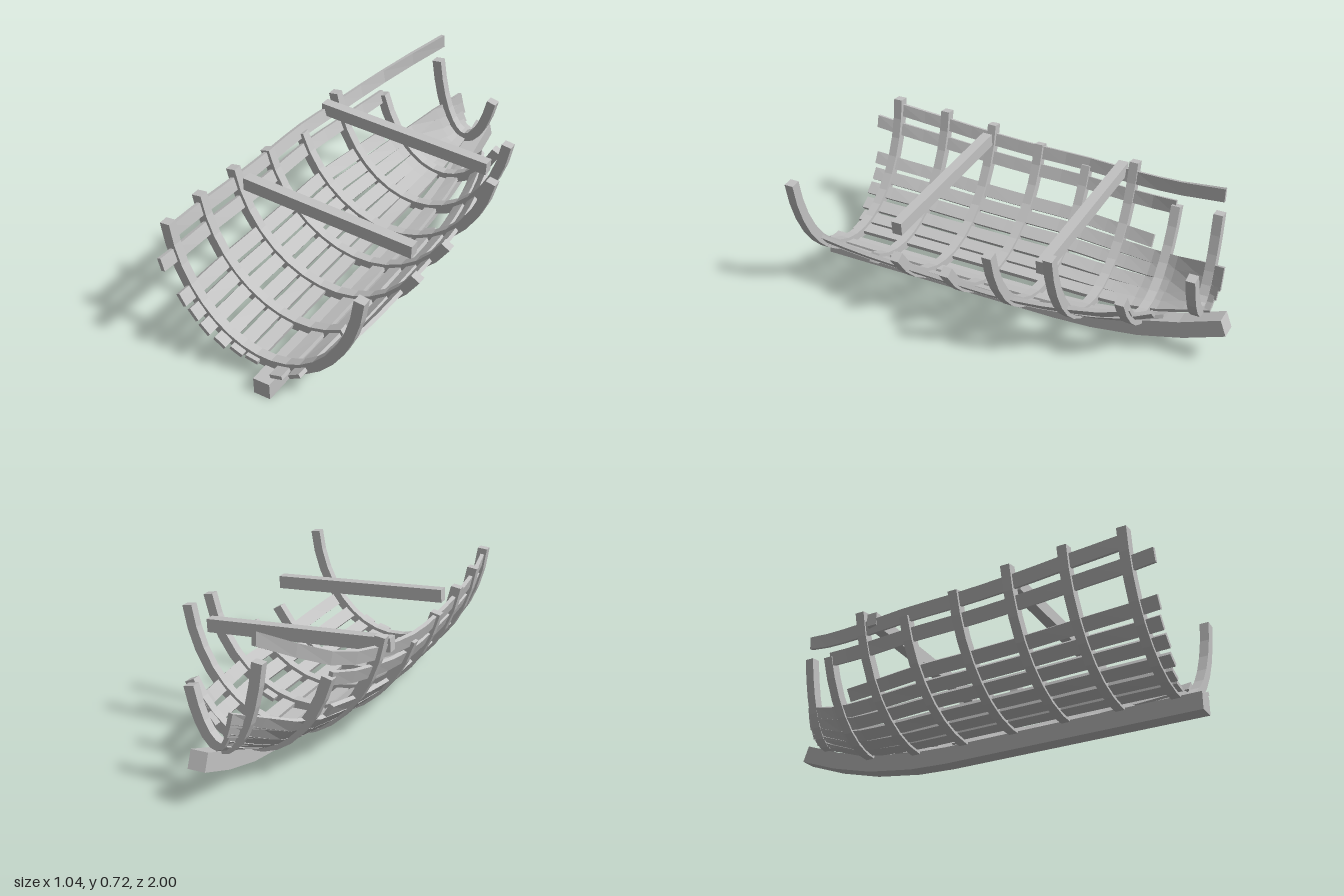
import * as THREE from 'three';

// Hull stations: z, half width, bottom height
const HULL = [
  [1.02, 0.435, 0.09], [0.89, 0.453, 0.09], [0.645, 0.49, 0.09], [0.395, 0.505, 0.09], [0.145, 0.513, 0.09],
  [-0.105, 0.51, 0.09], [-0.355, 0.457, 0.095], [-0.605, 0.367, 0.12], [-0.85, 0.175, 0.21], [-0.96, 0.07, 0.25],
];
const DEPTH = 0.6;
const curve = new THREE.CatmullRomCurve3(HULL.map(([z, w, b]) => new THREE.Vector3(w, b, z)), false, 'centripetal');
const SAMPLES = curve.getPoints(180);

// Half width and bottom at any z
function hullAt(z) {
  let i = 0;
  while (i < SAMPLES.length - 2 && SAMPLES[i + 1].z > z) i++;
  const a = SAMPLES[i], b = SAMPLES[i + 1];
  return a.clone().lerp(b, (z - a.z) / (b.z - a.z));
}

// Point on the hull section, with its outward normal and tangent
function section(z, degrees) {
  const h = hullAt(z), a = THREE.MathUtils.degToRad(degrees);
  const p = new THREE.Vector3(h.x * Math.sin(a), h.y + DEPTH * (1 - Math.cos(a)), z);
  const t = new THREE.Vector3(h.x * Math.cos(a), DEPTH * Math.sin(a), 0).normalize();
  return { p, t, n: new THREE.Vector3(t.y, -t.x, 0) };
}

// Rectangle around a centre, from two half-size vectors
const rect = (c, u, v) => [[-1, -1], [1, -1], [1, 1], [-1, 1]].map(
  ([i, j]) => c.clone().addScaledVector(u, i).addScaledVector(v, j));

// Flat-faced timber through a row of four-cornered rings, capped at both ends
function timber(rings) {
  const tris = [];
  const quad = (a, b, c, d) => tris.push([a, b, c], [a, c, d]);
  for (let r = 0; r < rings.length - 1; r++) {
    for (let k = 0; k < 4; k++) {
      const m = (k + 1) % 4;
      quad(rings[r][k], rings[r][m], rings[r + 1][m], rings[r + 1][k]);
    }
  }
  const s = rings[0], e = rings[rings.length - 1];
  quad(s[3], s[2], s[1], s[0]);
  quad(e[0], e[1], e[2], e[3]);
  // Turn the faces outward whichever way the rings run
  let volume = 0;
  for (const [a, b, c] of tris) volume += a.dot(b.clone().cross(c));
  const pts = tris.flatMap(([a, b, c]) => (volume < 0 ? [a, c, b] : [a, b, c]));
  const g = new THREE.BufferGeometry().setFromPoints(pts);
  g.computeVertexNormals();
  return g;
}

export function createModel() {
  const model = new THREE.Group();
  model.name = 'boatSkeleton';
  const wood = new THREE.MeshStandardMaterial({ color: 0xc2c2c2 });
  wood.name = 'weatheredWood';
  const add = (geometry, name) => {
    const mesh = new THREE.Mesh(geometry, wood);
    mesh.name = name;
    model.add(mesh);
    return mesh;
  };

  // Keel, rising toward the bow: z, y of its centre line
  const keelLine = [[1, 0.039], [-0.2, 0.039], [-0.38, 0.047], [-0.6, 0.078], [-0.8, 0.131], [-0.983, 0.2]];
  add(timber(keelLine.map(([z, y], i) => {
    const a = keelLine[Math.max(i - 1, 0)], b = keelLine[Math.min(i + 1, keelLine.length - 1)];
    const up = new THREE.Vector3(0, a[0] - b[0], b[1] - a[1]).normalize().multiplyScalar(0.039);
    return rect(new THREE.Vector3(0.039, y, z), new THREE.Vector3(0.039, 0, 0), up);
  })), 'keel');

  // Ribs, some broken short: z, end angle on the -x side, end angle on the +x side
  const ribs = [
    [0.89, 83.5, 81.5], [0.645, 81, 26.5], [0.395, 79, 55], [0.145, 74.5, 55],
    [-0.105, 70, 76.5], [-0.355, 79, 79], [-0.605, 66, 52.5], [-0.85, 69, 53],
  ];
  for (const [z, left, right] of ribs) {
    const rings = [], steps = Math.round((left + right) / 10);
    for (let i = 0; i <= steps; i++) {
      const { p, n } = section(z, -left + (left + right) * i / steps);
      rings.push(rect(p, n.multiplyScalar(0.023), new THREE.Vector3(0, 0, 0.021)));
    }
    add(timber(rings), 'rib');
  }

  // Hull planks let into the ribs: angle amidships, stern z, bow z
  const planks = [
    [-70.5, 0.88, -0.87], [-62, 1, -0.6], [-46, 0.98, -0.52], [-38.5, 0.97, -0.92],
    [-31, 0.97, -0.92], [-22.5, 0.96, -0.91], [-14.5, 0.94, -0.9], [-6.5, 0.93, -0.9],
    [10.5, 0.97, -0.72], [20.4, 0.96, -0.17], [30.3, 0.87, -0.7], [40, 0.84, -0.63],
  ];
  for (const [angle, z0, z1] of planks) {
    const rings = [], steps = Math.ceil((z0 - z1) / 0.13);
    const upper = Math.abs(angle) > 60;
    for (let i = 0; i <= steps; i++) {
      const z = z0 + (z1 - z0) * i / steps;
      // Planks climb toward the stern; only the upper ones climb toward the bow
      const sheer = z > 0 || upper ? 0.14 * z * z : 0;
      const { p, t, n } = section(z, angle * (1 + sheer));
      rings.push(rect(p, t.multiplyScalar(0.03), n.multiplyScalar(0.009)));
    }
    add(timber(rings), upper ? 'topPlank' : 'hullPlank');
  }

  // Sagging cross beams: z, x start, x end
  for (const [z, x0, x1] of [[0.395, -0.43, 0.395], [-0.29, -0.47, 0.39]]) {
    const beam = add(new THREE.BoxGeometry(x1 - x0, 0.06, 0.048), 'crossBeam');
    const x = (x0 + x1) / 2;
    beam.position.set(x, 0.5 - 0.057 * x, z);
    beam.rotation.z = -0.057;
  }
  return model;
}
